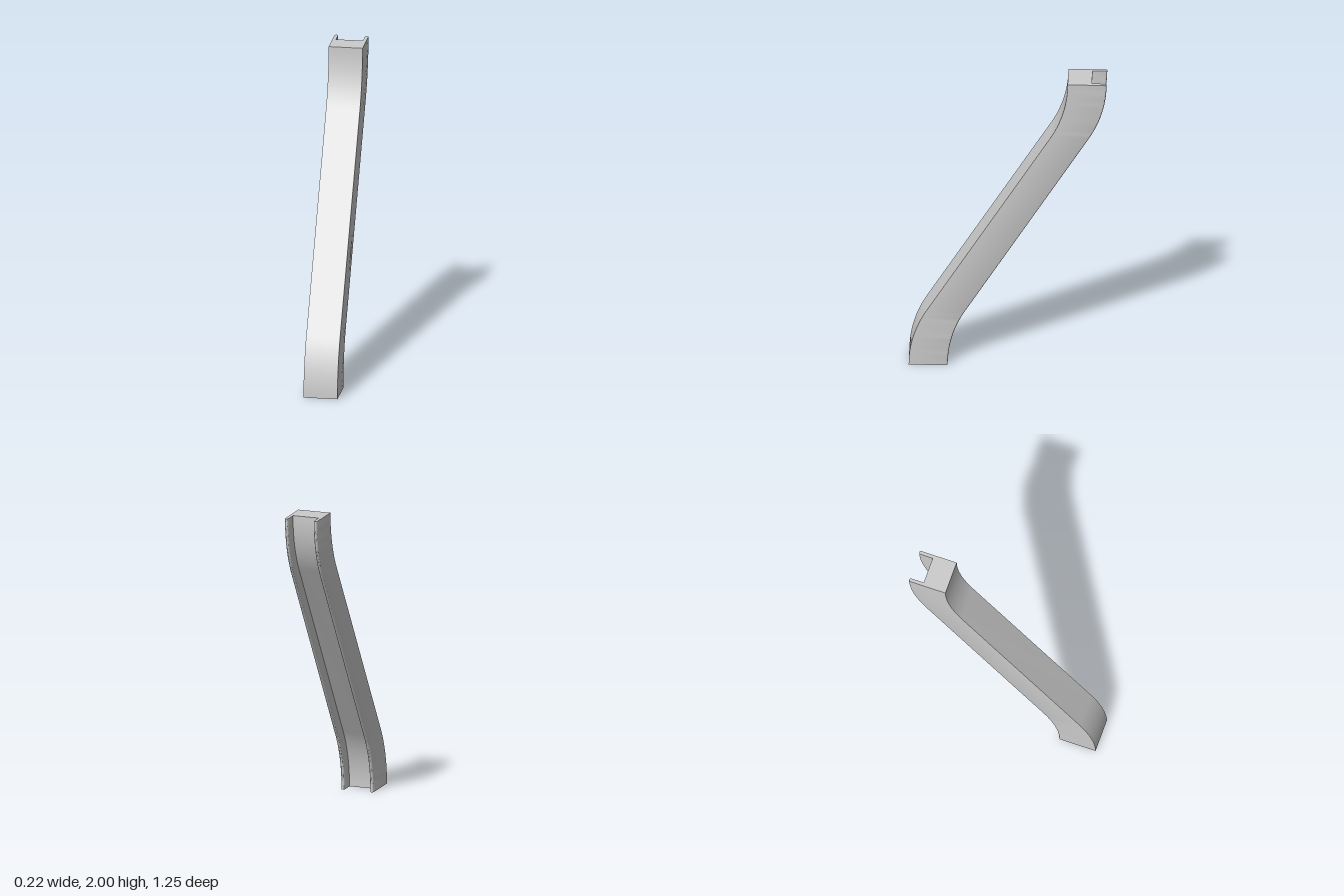
import * as THREE from 'three';
import { toCreasedNormals } from 'three/addons/utils/BufferGeometryUtils.js';

const HALF_WIDTH = 0.108, WALL = 0.022, HALF_DEPTH = 0.1225, WEB_BACK = 0.03;
const LEAN = THREE.MathUtils.degToRad(32), BEND_RADIUS = 0.717, BEND_STEPS = 14;

// S-shaped path of [y, z]: vertical at both ends, leaning back in between
function legPath() {
  const lower = [];
  for (let i = 0; i <= BEND_STEPS; i++) {
    const a = (LEAN * i) / BEND_STEPS;
    lower.push([BEND_RADIUS * Math.sin(a), 0.5 - BEND_RADIUS * (1 - Math.cos(a))]);
  }
  const upper = lower.map(([y, z]) => [2 - y, -z]).reverse();
  return [...lower, ...upper];
}

// Horizontal channel section, open to the back, with rounded flange tips
function channelSection() {
  const r = WALL / 2, inner = HALF_WIDTH - WALL, tip = HALF_DEPTH - r;
  const s = new THREE.Shape();
  s.moveTo(-HALF_WIDTH, -HALF_DEPTH);
  s.lineTo(HALF_WIDTH, -HALF_DEPTH);
  s.lineTo(HALF_WIDTH, tip);
  s.absarc(HALF_WIDTH - r, tip, r, 0, Math.PI, false);
  s.lineTo(inner, WEB_BACK);
  s.lineTo(-inner, WEB_BACK);
  s.lineTo(-inner, tip);
  s.absarc(-HALF_WIDTH + r, tip, r, 0, Math.PI, false);
  s.closePath();
  return s;
}

export function createModel() {
  const path = legPath();
  const steps = path.length - 1;
  const geometry = new THREE.ExtrudeGeometry(channelSection(), {
    depth: steps, steps, bevelEnabled: false, curveSegments: 10,
  });
  geometry.rotateX(-Math.PI / 2);

  // Slide each level section to its place on the path
  const p = geometry.attributes.position;
  for (let i = 0; i < p.count; i++) {
    const [y, z] = path[Math.round(p.getY(i))];
    p.setY(i, y);
    p.setZ(i, p.getZ(i) + z);
  }

  const leg = new THREE.Mesh(
    toCreasedNormals(geometry, Math.PI / 6),
    new THREE.MeshStandardMaterial({ color: 0xcccccc }),
  );
  leg.name = 'curvedChannelLeg';
  const group = new THREE.Group();
  group.name = 'channelLeg';
  group.add(leg);
  return group;
}
